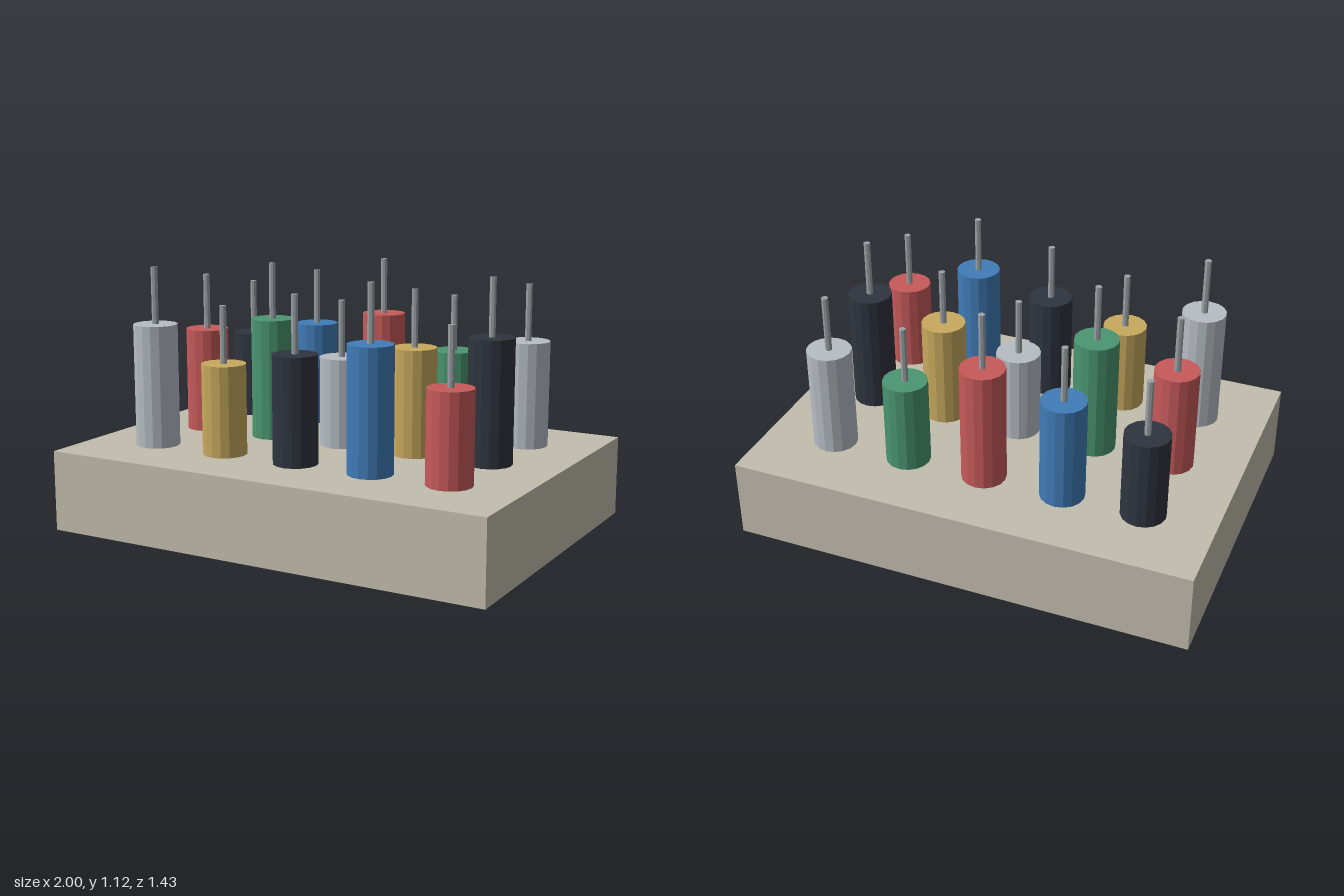
import * as THREE from 'three';

const paint = (name, color) => {
  const m = new THREE.MeshStandardMaterial({ color });
  m.name = name;
  m.flatShading = true;
  return m;
};

export function createModel() {
  const model = new THREE.Group();
  model.name = 'pegBlock';

  const stone = paint('warm stone', 0xc2bdae);
  const steel = paint('steel', 0x9ca2a5);
  // Peg colours repeat in this order
  const pegPaints = [
    paint('red', 0xc75a5a),
    paint('green', 0x4a9672),
    paint('light grey', 0xb7bdc3),
    paint('yellow', 0xc8aa5e),
    paint('charcoal', 0x2f343f),
    paint('blue', 0x407cb8),
  ];

  const add = (parent, name, geometry, material, x, y, z) => {
    const mesh = new THREE.Mesh(geometry, material);
    mesh.name = name;
    mesh.position.set(x, y, z);
    parent.add(mesh);
  };

  // Base block
  const baseH = 0.347;
  add(model, 'base', new THREE.BoxGeometry(2, baseH, 1.427), stone, 0, baseH / 2, 0);

  // Three rows of five pegs, in three repeating heights, each with a thin pin
  const pegHeights = [0.385, 0.455, 0.525];
  const pinH = 0.243;
  const pegGeometries = pegHeights.map((h) => new THREE.CylinderGeometry(0.095, 0.095, h, 16));
  const pinGeometry = new THREE.CylinderGeometry(0.0145, 0.0145, pinH, 8);

  for (let row = 0; row < 3; row++) {
    for (let col = 0; col < 5; col++) {
      const level = (col + row) % 3;
      const h = pegHeights[level];
      const peg = new THREE.Group();
      peg.name = `peg${row + 1}_${col + 1}`;
      peg.position.set((col - 2) * 0.3475, baseH, (row - 1) * 0.384);
      add(peg, 'pegBody', pegGeometries[level], pegPaints[(col + row * 2 + 4) % 6], 0, h / 2, 0);
      add(peg, 'pin', pinGeometry, steel, 0, h + pinH / 2, 0);
      model.add(peg);
    }
  }
  return model;
}
